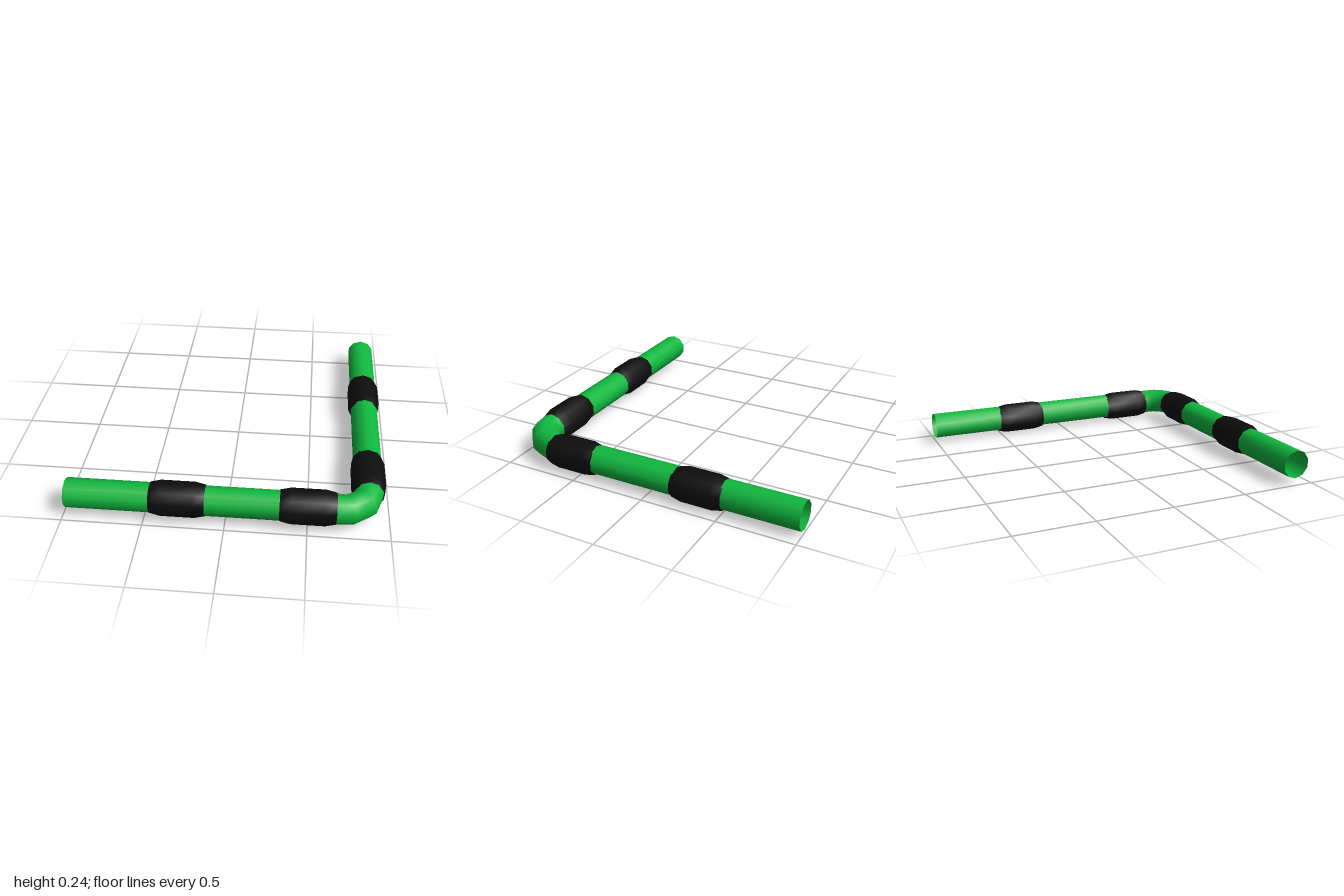
import * as THREE from 'three';

const SIDES = 10;
const PIPE_R = 0.0925;
const SLEEVE_R = 0.11;

// Lofts an open tube through rings [x, y, z, heading in degrees, radius]
function loft(rings) {
  const positions = [], index = [];
  rings.forEach(([x, y, z, deg, r], i) => {
    const h = THREE.MathUtils.degToRad(deg);
    for (let j = 0; j < SIDES; j++) {
      const a = (j / SIDES) * Math.PI * 2;
      const side = r * Math.sin(a);
      positions.push(x + side * Math.sin(h), y + r * Math.cos(a), z + side * Math.cos(h));
      if (i === 0) continue;
      const k = (j + 1) % SIDES, p = (i - 1) * SIDES, q = i * SIDES;
      index.push(p + j, p + k, q + j, p + k, q + k, q + j);
    }
  });
  const geometry = new THREE.BufferGeometry();
  geometry.setAttribute('position', new THREE.Float32BufferAttribute(positions, 3));
  geometry.setIndex(index);
  geometry.computeVertexNormals();
  return geometry;
}

export function createModel() {
  const group = new THREE.Group();
  const green = new THREE.MeshStandardMaterial({ color: 0x10b83f, side: THREE.DoubleSide });
  green.name = 'green';
  const black = new THREE.MeshStandardMaterial({ color: 0x0d0d0d, side: THREE.DoubleSide });
  black.name = 'black';

  const add = (name, rings, material) => {
    const mesh = new THREE.Mesh(loft(rings), material);
    mesh.name = name;
    group.add(mesh);
  };

  // Ring makers for the front run (along x) and the side run (along -z)
  const front = (x, r, y = 0.134) => [x, y, 0.89, 0, r];
  const side = (z, r, y = 0.117) => [0.871, y, z, 90, r];

  // Straight pipes, open at both ends
  add('frontPipe', [front(-0.98, PIPE_R), front(0.67, PIPE_R)], green);
  add('sidePipe', [side(0.72, PIPE_R), side(-1, PIPE_R)], green);

  // Three-segment elbow joining the two runs
  add('elbow', [
    front(0.67, PIPE_R),
    [0.75, 0.132, 0.886, 31, PIPE_R],
    [0.838, 0.125, 0.818, 54, PIPE_R],
    side(0.72, PIPE_R),
  ], green);

  // Sleeves with tapered ends
  const sleeve = (name, ring, start, end, y) => {
    const taper = 0.065 * Math.sign(end - start);
    add(name, [
      ring(start, PIPE_R + 0.003, y),
      ring(start + taper, SLEEVE_R, y),
      ring(end - taper, SLEEVE_R, y),
      ring(end, PIPE_R + 0.003, y),
    ], black);
  };
  sleeve('frontSleeveOuter', front, -0.46, -0.12, 0.135);
  sleeve('frontSleeveInner', front, 0.33, 0.67, 0.135);
  sleeve('sideSleeveInner', side, 0.725, 0.385, 0.112);
  sleeve('sideSleeveOuter', side, -0.17, -0.51, 0.112);

  return group;
}
